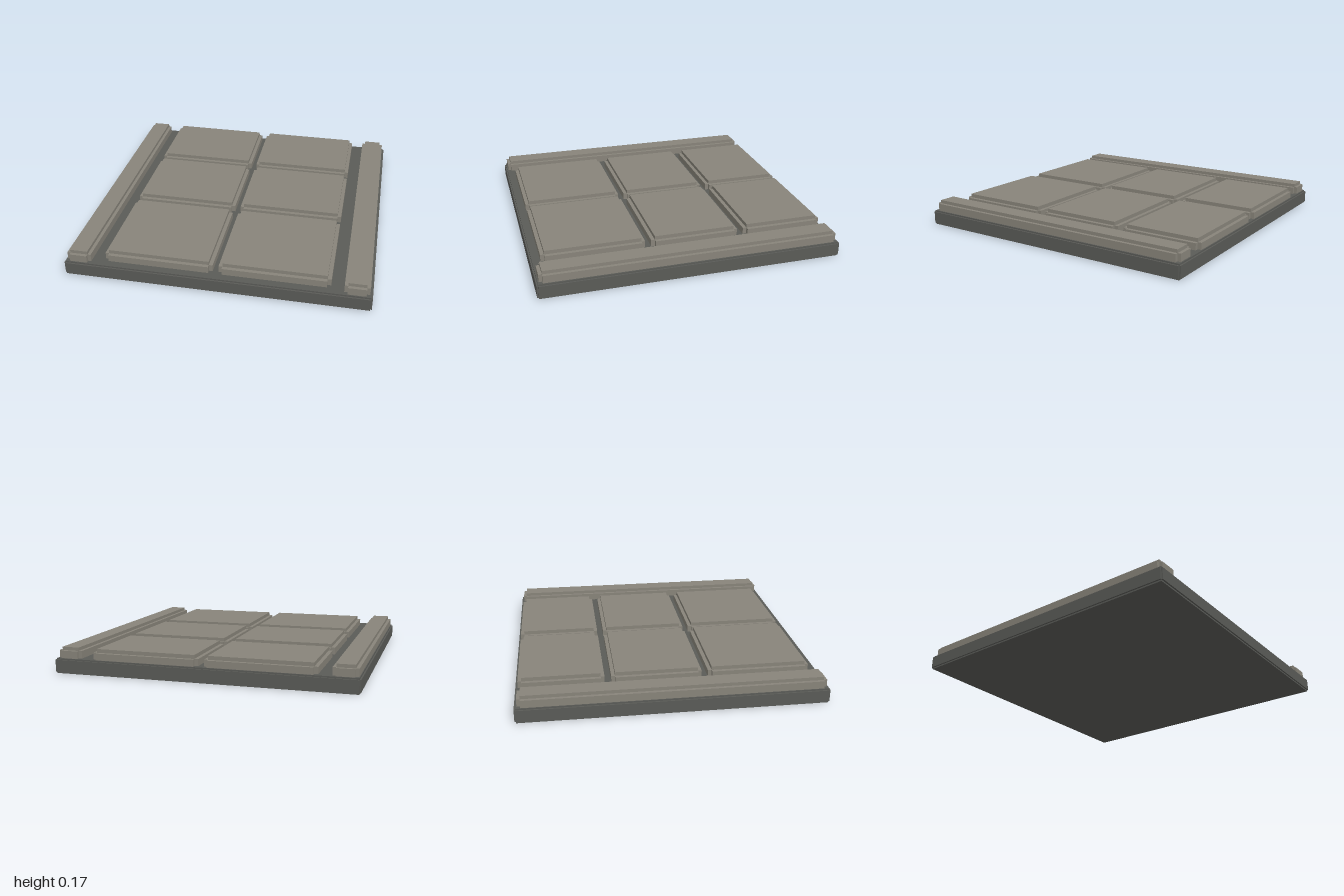
import * as THREE from 'three';
import { mergeGeometries } from 'three/addons/utils/BufferGeometryUtils.js';

// Box with stepped (notched) edges: three crossing boxes, each full size along one axis only
function steppedBox(w, h, d, step) {
  const s = 2 * step;
  return mergeGeometries([
    new THREE.BoxGeometry(w, h - s, d - s),
    new THREE.BoxGeometry(w - s, h, d - s),
    new THREE.BoxGeometry(w - s, h - s, d),
  ]);
}

export function createModel() {
  const model = new THREE.Group();
  model.name = 'pavedFloorTile';

  const paving = new THREE.MeshStandardMaterial({ color: 0x88847a });
  paving.name = 'pavingStone';
  const foundation = new THREE.MeshStandardMaterial({ color: 0x5a5b57 });
  foundation.name = 'darkFoundation';

  // Places a stepped block by its lower and upper bounds on each axis
  function addBlock(name, material, [x0, x1], [y0, y1], [z0, z1], step) {
    const mesh = new THREE.Mesh(steppedBox(x1 - x0, y1 - y0, z1 - z0, step), material);
    mesh.position.set((x0 + x1) / 2, (y0 + y1) / 2, (z0 + z1) / 2);
    mesh.name = name;
    model.add(mesh);
  }

  // Foundation slab
  addBlock('baseSlab', foundation, [-1, 1], [0, 0.1], [-1, 1], 0.01);

  // Kerbs along both sides
  addBlock('rightKerb', paving, [-0.985, -0.825], [0.05, 0.172], [-0.982, 0.982], 0.022);
  addBlock('leftKerb', paving, [0.822, 0.982], [0.05, 0.172], [-0.982, 0.982], 0.022);

  // Two columns of three paving slabs, with slightly uneven rows
  const columns = [[-0.74, -0.022], [0.017, 0.738]];
  const rows = [[-0.983, -0.426], [-0.383, 0.214], [0.255, 0.937]];
  columns.forEach((x, c) => rows.forEach((z, r) => {
    addBlock(`pavingSlab${c + 1}${r + 1}`, paving, x, [0.05, 0.17], z, 0.025);
  }));

  return model;
}
